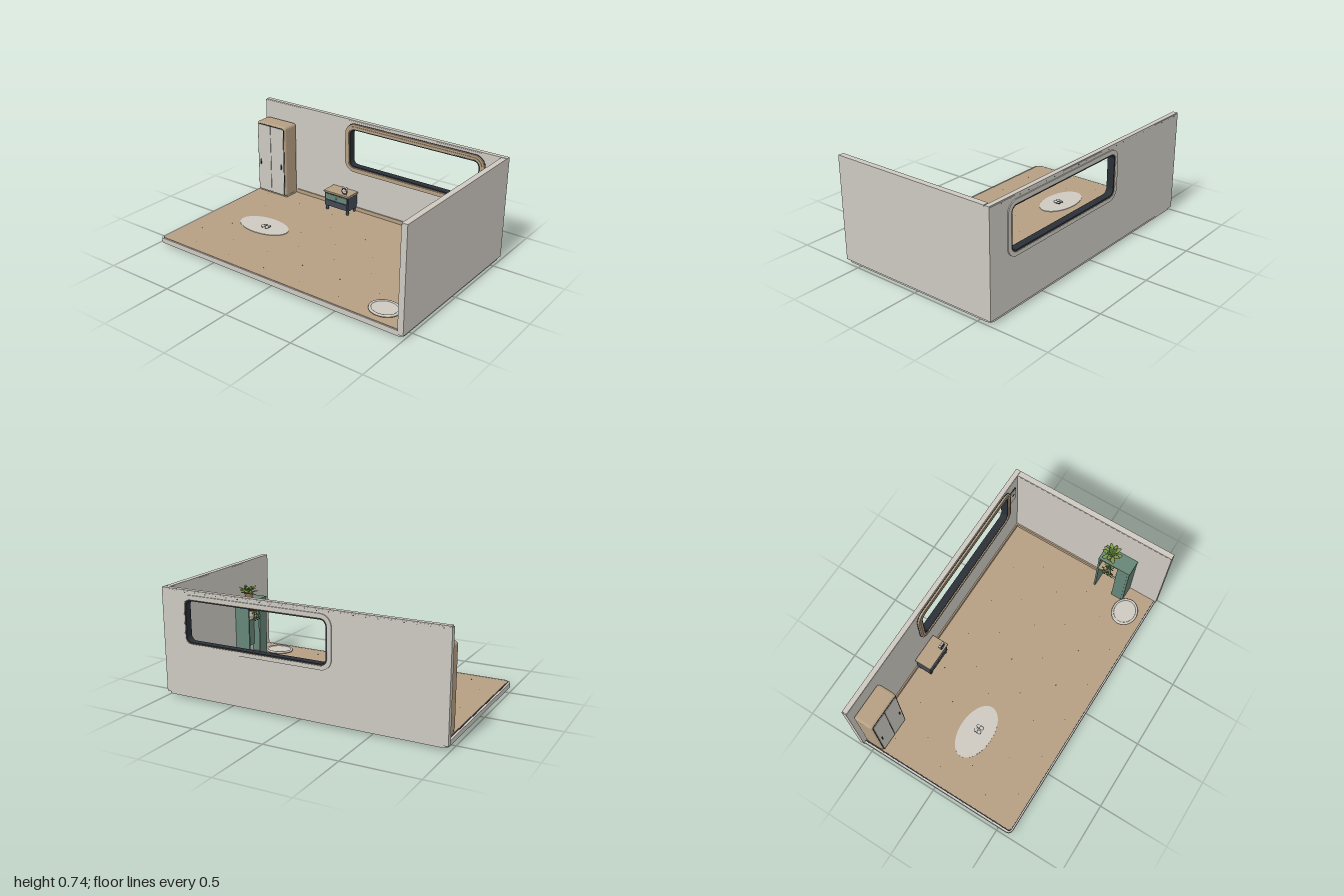
import * as THREE from 'three';
import { RoundedBoxGeometry } from 'three/addons/geometries/RoundedBoxGeometry.js';

const mat = (name, color, side = THREE.FrontSide) => {
  const m = new THREE.MeshStandardMaterial({ color, side });
  m.name = name;
  return m;
};

// Rounded rectangle centred on the origin
function trace(path, w, h, r) {
  const x = w / 2, y = h / 2;
  path.moveTo(-x + r, -y);
  path.lineTo(x - r, -y).absarc(x - r, -y + r, r, -Math.PI / 2, 0);
  path.lineTo(x, y - r).absarc(x - r, y - r, r, 0, Math.PI / 2);
  path.lineTo(-x + r, y).absarc(-x + r, y - r, r, Math.PI / 2, Math.PI);
  path.lineTo(-x, -y + r).absarc(-x + r, -y + r, r, Math.PI, Math.PI * 1.5);
  return path;
}
const extrude = (shape, depth) =>
  new THREE.ExtrudeGeometry(shape, { depth, bevelEnabled: false, curveSegments: 10 });
// Rounded ring facing z, with a border of the given width
function ring(w, h, r, border, depth) {
  const s = trace(new THREE.Shape(), w, h, r);
  s.holes.push(trace(new THREE.Path(), w - 2 * border, h - 2 * border, r - border));
  return extrude(s, depth);
}
// Flat rounded slab lying on y = 0
const slab = (w, d, r, height) =>
  extrude(trace(new THREE.Shape(), w, d, r), height).rotateX(-Math.PI / 2);

export function createModel() {
  const M = {
    shell: mat('warm grey', 0xcdc9c1),
    wood: mat('tan wood', 0xb59f83),
    green: mat('sage green', 0x668577),
    navy: mat('dark slate', 0x414a57),
    seam: mat('charcoal', 0x2a3037),
    leaf: mat('leaf green', 0x7d9a48),
    leafDark: mat('deep leaf green', 0x4d6a36),
    pot: mat('clay', 0x94755c),
  };
  const root = new THREE.Group();
  root.name = 'room';
  const group = (name, x = 0, y = 0, z = 0) => {
    const g = new THREE.Group();
    g.name = name;
    g.position.set(x, y, z);
    root.add(g);
    return g;
  };
  const add = (parent, name, geo, m, x = 0, y = 0, z = 0) => {
    const mesh = new THREE.Mesh(geo, m);
    mesh.name = name;
    mesh.position.set(x, y, z);
    parent.add(mesh);
    return mesh;
  };
  // Box given by its minimum and maximum corners
  const box = (parent, name, m, [x0, x1], [y0, y1], [z0, z1]) =>
    add(parent, name, new THREE.BoxGeometry(x1 - x0, y1 - y0, z1 - z0), m,
      (x0 + x1) / 2, (y0 + y1) / 2, (z0 + z1) / 2);
  const cyl = (parent, name, m, r0, r1, h, x, y, z, seg = 24) =>
    add(parent, name, new THREE.CylinderGeometry(r0, r1, h, seg), m, x, y, z);

  // Base with inlaid floor, underside plate, feet and vents
  const base = group('base');
  add(base, 'baseSlab', slab(1.975, 1.19, 0.035, 0.033), M.shell, 0.005, 0.015, 0);
  add(base, 'floorSeam', slab(1.95, 1.175, 0.025, 0.002), M.seam, 0.005, 0.047, 0);
  add(base, 'floor', slab(1.935, 1.165, 0.02, 0.005), M.wood, 0.005, 0.047, 0);
  add(base, 'frontLip', new THREE.BoxGeometry(1.9, 0.006, 0.008), M.shell, 0.005, 0.049, 0.591);
  add(base, 'undersidePlate', slab(1.82, 1.06, 0.04, 0.004), M.shell, 0, 0.012, 0);
  for (const x of [-0.88, 0.88]) for (const z of [-0.45, 0.45]) {
    cyl(base, 'foot', M.wood, 0.026, 0.023, 0.013, x, 0.0065, z);
    cyl(base, 'footPad', M.seam, 0.015, 0.015, 0.002, x, 0.001, z);
  }
  for (const x of [-0.68, 0.68]) for (let i = 0; i < 4; i++)
    add(base, 'ventSlit', new THREE.BoxGeometry(0.16, 0.003, 0.009), M.seam, x, 0.0115, -0.265 - i * 0.03);
  for (const x of [-0.8, 0, 0.8]) for (const z of [-0.5, 0.5])
    cyl(base, 'screw', M.seam, 0.006, 0.006, 0.002, x, 0.0115, z, 10);
  // Flush floor pegs in staggered rows
  for (let row = 0; row < 6; row++) for (let i = 0; i < 6; i++)
    cyl(base, 'floorPeg', M.seam, 0.003, 0.003, 0.001,
      -0.85 + i * 0.3 + (row % 2) * 0.12, 0.0523, -0.4 + row * 0.18, 8);

  // Walls: the back one has a rounded opening
  const walls = group('walls');
  const wx = 0.305, wy = 0.535;
  const backShape = new THREE.Shape([[-0.99, 0.03], [1, 0.03], [1, 0.733], [-0.99, 0.733]]
    .map(([x, y]) => new THREE.Vector2(x - wx, y - wy)));
  backShape.holes.push(trace(new THREE.Path(), 1.06, 0.32, 0.06));
  add(walls, 'backWall', extrude(backShape, 0.035), M.shell, wx, wy, -0.6);
  box(walls, 'rightWall', M.shell, [0.96, 1], [0.03, 0.733], [-0.566, 0.6]);
  box(walls, 'backCap', M.shell, [-0.985, 1], [0.733, 0.74], [-0.599, -0.566]);
  box(walls, 'rightCap', M.shell, [0.961, 1], [0.733, 0.74], [-0.56, 0.599]);
  box(walls, 'backSkirting', M.wood, [-0.69, 0.958], [0.051, 0.08], [-0.566, -0.556]);
  box(walls, 'rightSkirting', M.wood, [0.95, 0.961], [0.051, 0.08], [-0.56, 0.155]);
  for (let i = 0; i < 24; i++)
    add(walls, 'wallStud', new THREE.BoxGeometry(0.006, 0.004, 0.002), M.seam, -0.94 + i * 0.08, 0.724, -0.6);

  // Window frame: wooden inside, grey outside, dark gasket through the opening
  const win = group('window', wx, wy, 0);
  add(win, 'innerFrame', ring(1.1, 0.36, 0.08, 0.034, 0.02), M.wood, 0, 0, -0.57);
  add(win, 'innerFrameSeam', ring(1.106, 0.366, 0.083, 0.006, 0.008), M.seam, 0, 0, -0.57);
  add(win, 'innerFrameLip', ring(1.07, 0.33, 0.065, 0.016, 0.005), M.wood, 0, 0, -0.551);
  add(win, 'outerFrame', ring(1.09, 0.35, 0.075, 0.025, 0.01), M.shell, 0, 0, -0.607);
  add(win, 'frameReveal', ring(1.062, 0.322, 0.061, 0.014, 0.04), M.wood, 0, 0, -0.606);
  add(win, 'gasket', ring(1.036, 0.296, 0.05, 0.011, 0.05), M.seam, 0, 0, -0.604);

  // Wardrobe with two doors
  const robe = group('wardrobe', -0.83, 0, -0.49);
  add(robe, 'body', new RoundedBoxGeometry(0.27, 0.55, 0.138, 4, 0.02), M.wood, 0, 0.335, 0);
  box(robe, 'plinth', M.wood, [-0.13, 0.13], [0.05, 0.075], [-0.065, 0.055]);
  add(robe, 'doorSeam', extrude(trace(new THREE.Shape(), 0.248, 0.53, 0.015), 0.003), M.seam, 0, 0.333, 0.067);
  for (const s of [-1, 1]) {
    add(robe, 'door', extrude(trace(new THREE.Shape(), 0.118, 0.52, 0.008), 0.006), M.shell, s * 0.061, 0.333, 0.067);
    add(robe, 'handle', new RoundedBoxGeometry(0.008, 0.04, 0.01, 2, 0.003), M.seam, s * 0.098, 0.295, 0.075);
  }

  // Bedside table
  const stand = group('bedsideTable', -0.245, 0, -0.5);
  add(stand, 'tableTop', new RoundedBoxGeometry(0.22, 0.016, 0.125, 2, 0.005), M.wood, 0, 0.198, 0);
  box(stand, 'body', M.navy, [-0.104, 0.104], [0.085, 0.19], [-0.056, 0.05]);
  box(stand, 'drawerSeam', M.seam, [-0.095, 0.095], [0.137, 0.186], [0.049, 0.0515]);
  box(stand, 'drawer', M.green, [-0.091, 0.091], [0.141, 0.182], [0.049, 0.055]);
  box(stand, 'lowerPanel', M.navy, [-0.091, 0.091], [0.09, 0.132], [0.049, 0.054]);
  add(stand, 'knob', new THREE.SphereGeometry(0.007, 12, 8), M.wood, 0, 0.162, 0.058);
  for (const x of [-0.09, 0.09]) for (const z of [-0.045, 0.04])
    cyl(stand, 'leg', M.navy, 0.012, 0.009, 0.04, x, 0.07, z, 12);

  // Small twin-bell clock on the table
  const clock = group('clock', -0.18, 0.206, -0.46);
  add(clock, 'case', new THREE.CylinderGeometry(0.021, 0.021, 0.018, 24).rotateX(Math.PI / 2), M.shell, 0, 0.03, 0);
  add(clock, 'rim', new THREE.TorusGeometry(0.02, 0.003, 8, 24), M.seam, 0, 0.03, 0.009);
  box(clock, 'hourHand', M.seam, [-0.001, 0.001], [0.03, 0.042], [0.009, 0.011]);
  box(clock, 'minuteHand', M.seam, [0, 0.013], [0.029, 0.031], [0.009, 0.011]);
  for (const s of [-1, 1]) {
    add(clock, 'bell', new THREE.SphereGeometry(0.009, 12, 8), M.shell, s * 0.015, 0.054, 0);
    cyl(clock, 'clockFoot', M.seam, 0.003, 0.003, 0.014, s * 0.013, 0.007, 0, 8);
  }

  // Oval rug with a pair of slippers
  const rug = group('rug', -0.52, 0.052, 0.035);
  cyl(rug, 'rugMat', M.shell, 1, 1, 0.004, 0, 0.002, 0, 64).scale.set(0.2, 1, 0.115);
  for (const s of [-1, 1]) {
    const x = 0.022 + s * 0.016;
    cyl(rug, 'slipperSole', M.seam, 1, 1, 0.004, x, 0.006, 0.005, 24).scale.set(0.013, 1, 0.028);
    cyl(rug, 'slipperInsole', M.shell, 1, 1, 0.003, x, 0.008, 0.005, 24).scale.set(0.011, 1, 0.025);
    add(rug, 'slipperToe', new THREE.SphereGeometry(1, 16, 6, 0, Math.PI * 2, 0, Math.PI / 2), M.shell, x, 0.007, 0.017)
      .scale.set(0.013, 0.012, 0.015);
  }

  // Round cushion bed with a raised rim
  const bed = group('petBed', 0.775, 0.052, 0.45);
  bed.scale.z = 0.87;
  cyl(bed, 'cushion', M.shell, 0.09, 0.09, 0.012, 0, 0.006, 0, 48);
  add(bed, 'rim', new THREE.TorusGeometry(0.094, 0.009, 10, 48).rotateX(Math.PI / 2), M.shell, 0, 0.009, 0);
  add(bed, 'rimBand', new THREE.TorusGeometry(0.099, 0.005, 8, 48).rotateX(Math.PI / 2), M.pot, 0, 0.006, 0);

  // Tall cabinet, partly open towards the room
  const cab = group('cabinet');
  box(cab, 'rearSide', M.green, [0.845, 0.958], [0.052, 0.465], [0.155, 0.167]);
  box(cab, 'frontSide', M.green, [0.846, 0.958], [0.052, 0.465], [0.377, 0.39]);
  box(cab, 'door', M.green, [0.845, 0.857], [0.052, 0.465], [0.3, 0.377]);
  box(cab, 'backPanel', M.green, [0.948, 0.958], [0.1, 0.465], [0.167, 0.377]);
  box(cab, 'cabinetTop', M.green, [0.843, 0.96], [0.465, 0.477], [0.153, 0.392]);
  box(cab, 'shelf', M.wood, [0.835, 0.948], [0.345, 0.355], [0.167, 0.3]);

  // Leaves radiating from a point
  const leafGeo = new THREE.SphereGeometry(1, 10, 6).translate(1, 0, 0);
  const leaf = (parent, m, len, x, y, z, yaw, pitch) => {
    const l = add(parent, 'leaf', leafGeo, m, x, y, z);
    l.scale.set(len / 2, 0.003, len * 0.2);
    l.rotation.set(0, yaw, pitch, 'YXZ');
  };
  const potted = (name, x, y, z, r, m) => {
    const g = group(name, x, y, z);
    cyl(g, 'pot', m, r, r * 0.72, r * 1.7, 0, r * 0.85, 0);
    cyl(g, 'potRim', m, r * 1.1, r * 1.1, r * 0.3, 0, r * 1.7, 0);
    cyl(g, 'soil', M.seam, r * 0.9, r * 0.9, 0.002, 0, r * 1.86, 0);
    return g;
  };
  const plant = potted('plant', 0.885, 0.477, 0.225, 0.03, M.pot);
  for (let i = 0; i < 10; i++) {
    const a = i * Math.PI / 5;
    leaf(plant, M.leaf, 0.074, 0, 0.06 + (i % 2) * 0.008, 0, a, 0.15 + (i % 2) * 0.3);
    if (i % 2) leaf(plant, M.leafDark, 0.055, 0, 0.062, 0, a + 0.3, 0.8);
  }

  // Trailing plant on the cabinet shelf
  const vine = potted('trailingPlant', 0.875, 0.355, 0.235, 0.024, M.shell);
  for (let i = 0; i < 6; i++)
    leaf(vine, i % 2 ? M.leafDark : M.leaf, 0.045, 0, 0.045, 0, i * Math.PI / 3, 0.4);
  for (const z of [-0.028, 0, 0.028]) {
    const curve = new THREE.CatmullRomCurve3([[0, 0.045, 0], [-0.03, 0.06, z * 0.7], [-0.045, 0.03, z], [-0.046, -0.01, z]]
      .map(p => new THREE.Vector3(...p)));
    add(vine, 'stem', new THREE.TubeGeometry(curve, 12, 0.002, 5), M.leafDark);
    for (let i = 2; i < 7; i++) {
      const p = curve.getPoint(i / 6);
      leaf(vine, i % 2 ? M.leaf : M.leafDark, 0.025, p.x, p.y, p.z, (i % 2 ? 1 : -1) * 1.3, -0.7);
    }
  }

  // Control panel on the back wall
  const panel = group('wallPanel', 0.89, 0.575, -0.565);
  add(panel, 'panelEdge', extrude(trace(new THREE.Shape(), 0.076, 0.12, 0.006), 0.006), M.seam);
  add(panel, 'panelFace', extrude(trace(new THREE.Shape(), 0.066, 0.11, 0.005), 0.01), M.shell);
  box(panel, 'panelSwitch', M.seam, [-0.012, 0.012], [0.012, 0.02], [0.009, 0.013]);

  return root;
}
